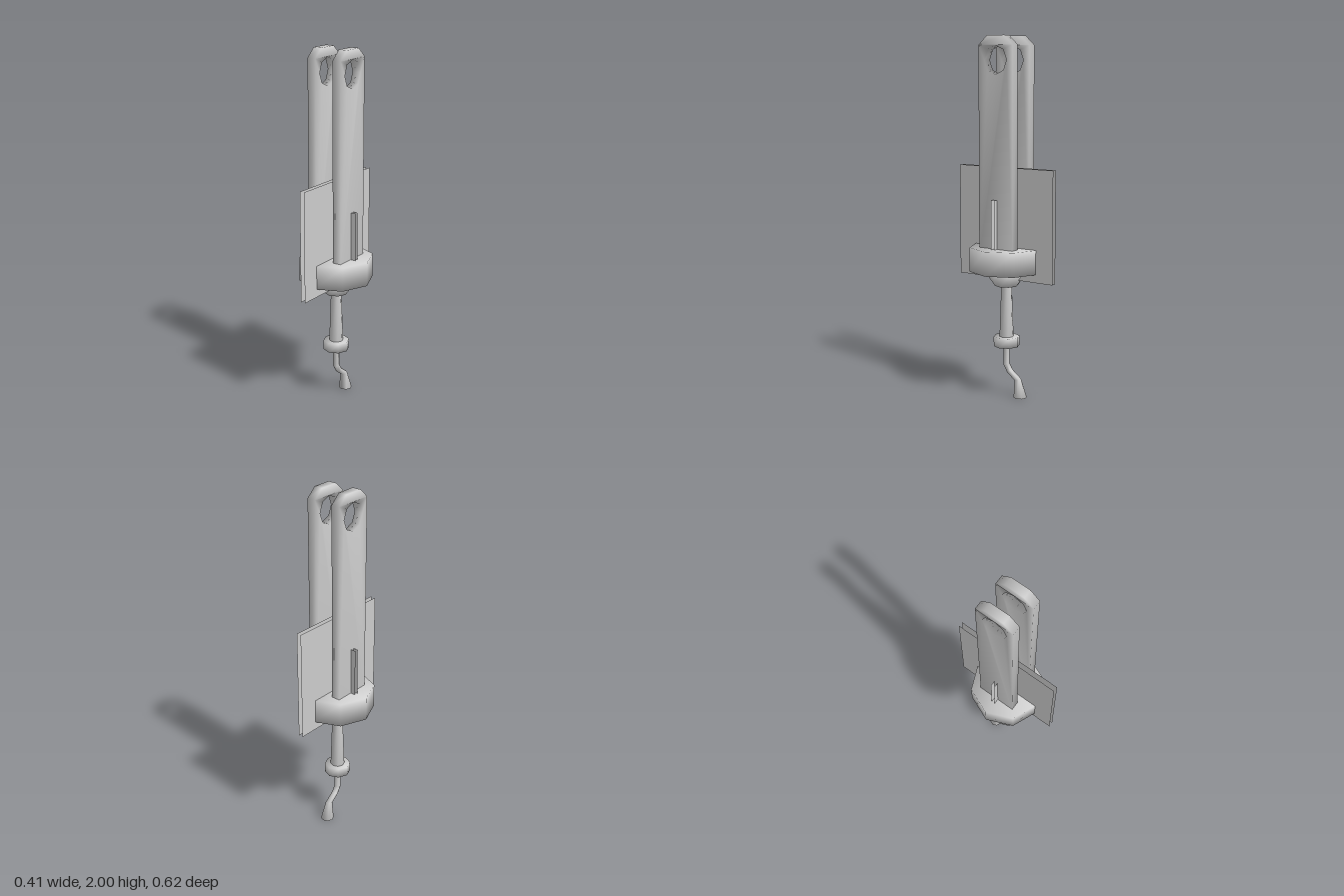
import * as THREE from 'three';
import { mergeVertices } from 'three/addons/utils/BufferGeometryUtils.js';

const steel = new THREE.MeshStandardMaterial({ color: 0xcccccc, side: THREE.DoubleSide });
steel.name = 'light grey steel';

// Weld all corners so shading runs smoothly over the low-poly edges
function smooth(geometry) {
  geometry.deleteAttribute('uv');
  geometry.deleteAttribute('normal');
  const welded = mergeVertices(geometry, 1e-4);
  welded.computeVertexNormals();
  return welded;
}

// Eight-sided cylinder between two heights
function drum(rTop, rBottom, y0, y1) {
  return smooth(new THREE.CylinderGeometry(rTop, rBottom, y1 - y0, 8).translate(0, (y0 + y1) / 2, 0));
}

// Flat bar with chamfered top and an eight-sided eye, centred on x = 0
function armGeometry() {
  const shape = new THREE.Shape([
    [-0.11, 0.8], [0.11, 0.8], [0.11, 1.95], [0.055, 2], [-0.055, 2], [-0.11, 1.95],
  ].map(([z, y]) => new THREE.Vector2(z, y)));
  const eye = [];
  for (let i = 0; i < 8; i++) {
    const a = -i * Math.PI / 4;
    eye.push(new THREE.Vector2(0.072 * Math.cos(a), 1.87 + 0.077 * Math.sin(a)));
  }
  shape.holes.push(new THREE.Path(eye));
  const g = new THREE.ExtrudeGeometry(shape, { depth: 0.05, bevelEnabled: false });
  return smooth(g.translate(0, 0, -0.025).rotateY(-Math.PI / 2));
}

// Bent rod ending in a flared foot; each ring is [front z, y, back z, y, half width]
function hookGeometry() {
  const rings = [
    [0.018, 0.3, -0.018, 0.3, 0.018],
    [0.019, 0.175, -0.018, 0.185, 0.018],
    [-0.01, 0.13, -0.037, 0.15, 0.018],
    [-0.058, 0.095, -0.095, 0.105, 0.019],
    [-0.055, 0, -0.13, 0, 0.037],
  ];
  const n = 8, pos = [], idx = [];
  for (const [z0, y0, z1, y1, w] of rings) {
    for (let i = 0; i < n; i++) {
      const a = i * 2 * Math.PI / n, c = Math.cos(a) / 2;
      pos.push(w * Math.sin(a), (y0 + y1) / 2 + (y0 - y1) * c, (z0 + z1) / 2 + (z0 - z1) * c);
    }
  }
  for (let r = 0; r < rings.length - 1; r++) {
    for (let i = 0; i < n; i++) {
      const a = r * n + i, b = r * n + (i + 1) % n;
      idx.push(a, a + n, b, b, a + n, b + n);
    }
  }
  // Foot cap
  const base = (rings.length - 1) * n;
  for (let i = 1; i < n - 1; i++) idx.push(base, base + i + 1, base + i);
  const g = new THREE.BufferGeometry();
  g.setAttribute('position', new THREE.Float32BufferAttribute(pos, 3));
  g.setIndex(idx);
  g.computeVertexNormals();
  return g;
}

export function createModel() {
  const model = new THREE.Group();
  const add = (name, geometry) => {
    const mesh = new THREE.Mesh(geometry, steel);
    mesh.name = name;
    model.add(mesh);
    return mesh;
  };

  // Turned body
  add('collar', drum(0.207, 0.207, 0.715, 0.85));
  add('collarCone', drum(0.125, 0.065, 0.63, 0.715));
  add('stem', drum(0.03, 0.04, 0.34, 0.63));
  add('stopRing', drum(0.073, 0.073, 0.285, 0.34));
  add('hook', hookGeometry());

  // Twin arms and paired open sheets, mirrored
  const arm = armGeometry();
  for (const side of [1, -1]) {
    const label = side > 0 ? 'Left' : 'Right';
    add('arm' + label, arm).position.x = side * 0.08;
    add('largeSheet' + label, new THREE.PlaneGeometry(0.62, 0.62)
      .rotateY(side * Math.PI / 2).translate(side * 0.013, 0.98, 0));
    add('smallSheet' + (side > 0 ? 'Front' : 'Back'), new THREE.PlaneGeometry(0.27, 0.27)
      .rotateY(side > 0 ? 0 : Math.PI).translate(0, 0.985, side * 0.01));
  }
  return model;
}
